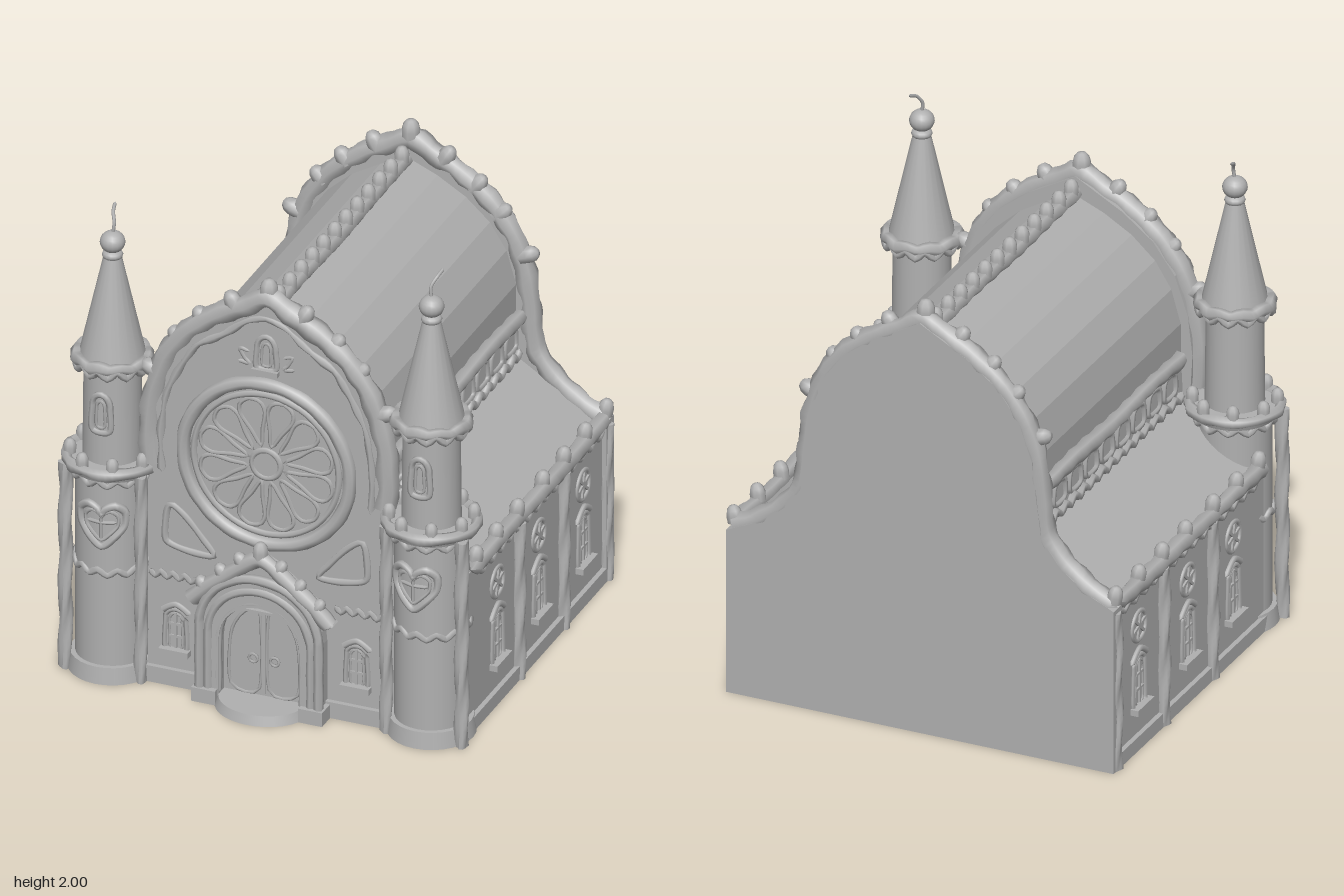
import * as THREE from 'three';

const stone = new THREE.MeshStandardMaterial({ color: 0xb0b0b0 });
stone.name = 'plain grey';

function mesh(parent, name, geo, x = 0, y = 0, z = 0) {
  const m = new THREE.Mesh(geo, stone);
  m.name = name;
  m.position.set(x, y, z);
  parent.add(m);
  return m;
}

// Lumpy piped-icing strand through points; open ends are pinched shut
function strand(parent, name, pts, r, seg = 24, closed = false, lump = 0.2, sides = 6) {
  const curve = new THREE.CatmullRomCurve3(pts.map(p => new THREE.Vector3(p[0], p[1], p[2] || 0)), closed, 'catmullrom', 0.4);
  const geo = new THREE.TubeGeometry(curve, seg, r, sides, closed);
  const p = geo.attributes.position, n = geo.attributes.normal, v = new THREE.Vector3(), d = new THREE.Vector3();
  for (let i = 0; i < p.count; i++) {
    v.fromBufferAttribute(p, i);
    d.fromBufferAttribute(n, i);
    const ring = Math.floor(i / (sides + 1));
    const end = !closed && (ring === 0 || ring === seg);
    const k = end ? -r : r * lump * Math.sin(41 * v.x + 29 * v.z + 1) * Math.cos(37 * v.y + 23 * v.z);
    v.addScaledVector(d, k);
    p.setXYZ(i, v.x, v.y, v.z);
  }
  return mesh(parent, name, geo);
}

// Scalloped line from a to b
function scallop(parent, name, a, b, n, drop, r) {
  const pts = [];
  for (let i = 0; i <= n * 2; i++) {
    const t = i / (n * 2);
    pts.push([a[0] + (b[0] - a[0]) * t, a[1] + (b[1] - a[1]) * t - (i % 2) * drop, a[2] + (b[2] - a[2]) * t]);
  }
  strand(parent, name, pts, r, n * 6, false, 0.15, 5);
}

// Scalloped ring around a vertical axis
function ringScallop(parent, name, cx, y, cz, R, n, drop, r) {
  const pts = [];
  for (let i = 0; i < n * 2; i++) {
    const a = i / (n * 2) * Math.PI * 2;
    pts.push([cx + R * Math.sin(a), y - (i % 2) * drop, cz + R * Math.cos(a)]);
  }
  strand(parent, name, pts, r, n * 6, true, 0.15, 5);
}

const budGeo = new THREE.LatheGeometry([[0.034, -0.03], [0.036, 0.005], [0.03, 0.03], [0.017, 0.046], [0, 0.05]].map(p => new THREE.Vector2(...p)), 8);
function bud(parent, x, y, z, tilt = 0, s = 1) {
  const m = mesh(parent, 'bud', budGeo, x, y, z);
  m.rotation.z = tilt;
  m.scale.setScalar(s);
}

// Twisted three-lobed column
function column(parent, x, z, h, r) {
  const geo = new THREE.CylinderGeometry(1, 1, h, 12, 24);
  const p = geo.attributes.position;
  for (let i = 0; i < p.count; i++) {
    const a = Math.atan2(p.getZ(i), p.getX(i)), y = p.getY(i);
    const k = r * (1 + 0.2 * Math.cos(3 * a + 22 * y));
    p.setX(i, p.getX(i) * k);
    p.setZ(i, p.getZ(i) * k);
  }
  geo.computeVertexNormals();
  mesh(parent, 'twistedColumn', geo, x, h / 2, z);
}

// Symmetric profile (right half, bottom to top) turned into an extruded slab
const mirrored = half => [...half, ...half.slice(0, -1).reverse().map(([x, y]) => [-x, y])];
function slab(parent, name, pts, z0, z1, hole) {
  const s = new THREE.Shape(pts.map(p => new THREE.Vector2(...p)));
  if (hole) s.holes.push(new THREE.Path(hole.map(p => new THREE.Vector2(...p))));
  return mesh(parent, name, new THREE.ExtrudeGeometry(s, { depth: z1 - z0, bevelEnabled: false }), 0, 0, z0);
}

// Slightly pointed arch outline, right half
function archHalf(w, y0, spring, top) {
  const pts = [[w, y0]];
  for (let i = 0; i <= 8; i++) {
    const a = i / 8 * Math.PI / 2;
    pts.push([w * Math.cos(a), spring + (top - spring) * Math.pow(Math.sin(a), 0.95)]);
  }
  return pts;
}

const circle = (r, n = 40) => Array.from({ length: n }, (_, i) => [r * Math.cos(i / n * 2 * Math.PI), r * Math.sin(i / n * 2 * Math.PI)]);
const box = (g, name, w, h, d, x, y, z) => mesh(g, name, new THREE.BoxGeometry(w, h, d), x, y, z);

function group(parent, name, x, y, z, ry = 0) {
  const g = new THREE.Group();
  g.name = name;
  g.position.set(x, y, z);
  g.rotation.y = ry;
  parent.add(g);
  return g;
}

// Small window with frame, bars, sill and lintel
function smallWindow(parent, x, y, z, ry, w, h) {
  const g = group(parent, 'window', x, y, z, ry);
  strand(g, 'windowFrame', mirrored(archHalf(w / 2, -h / 2, h * 0.3, h / 2)), 0.011, 30, true, 0.1, 5);
  strand(g, 'windowInnerFrame', mirrored(archHalf(w * 0.3, -h * 0.42, h * 0.25, h * 0.4)), 0.006, 24, true, 0.1, 5);
  box(g, 'windowBar', 0.01, h * 0.85, 0.014, 0, 0, 0);
  for (const t of [-0.15, 0.15]) box(g, 'windowCrossbar', w * 0.65, 0.01, 0.014, 0, h * t, 0);
  box(g, 'windowSill', w * 1.45, 0.025, 0.045, 0, -h / 2, 0.01);
  strand(g, 'windowHood', [[-w * 0.72, h * 0.42], [-w * 0.35, h * 0.55], [0, h * 0.62], [w * 0.35, h * 0.55], [w * 0.72, h * 0.42]], 0.014, 14, false, 0.1);
}

export function createModel() {
  const root = new THREE.Group();
  root.name = 'cathedral';
  const gable = [[0.5, 0], [0.49, 0.93], [0.5, 1.1], [0.48, 1.27], [0.425, 1.43], [0.33, 1.56], [0.2, 1.66], [0.09, 1.72], [0, 1.77]];

  // Main body with side aisles, clerestory and curved nave roof
  slab(root, 'body', mirrored([[0.81, 0], [0.81, 0.69], [0.46, 0.91], [0.45, 1.1], [0.45, 1.23], [0.41, 1.37], [0.34, 1.48], [0.24, 1.57], [0.12, 1.64], [0, 1.69]]), -0.8, 0.58);
  slab(root, 'plinth', mirrored([[0.83, 0], [0.83, 0.06], [0, 0.06]]), -0.83, 0.6);

  // Front gable wall
  slab(root, 'facade', mirrored(gable), 0.57, 0.65);
  box(root, 'facadePlinth', 1, 0.07, 0.1, 0, 0.035, 0.62);
  strand(root, 'facadeTrim', mirrored(gable.slice(1)).map(([x, y]) => [x, y, 0.625]), 0.045, 80, false, 0.2, 8);
  const inner = mirrored(gable.slice(1)).map(([x, y], i) => [x * 0.89, 0.75 + (y - 0.75) * 0.94 - (i % 2) * 0.02, 0.65]);
  strand(root, 'facadeIcing', inner, 0.014, 70, false, 0.5);

  // Back wall
  const back = [[0.83, 0], [0.83, 0.7], [0.72, 0.75], [0.6, 0.84], [0.52, 0.95], ...gable.slice(2)];
  slab(root, 'backWall', mirrored(back), -0.835, -0.76);
  strand(root, 'backTrim', mirrored(back.slice(1)).map(([x, y]) => [x, y, -0.79]), 0.043, 100, false, 0.2, 8);
  for (const z of [0.625, -0.78]) {
    bud(root, 0, 1.8, z, 0, 1.05);
    for (const s of [-1, 1])
      for (const [x, y, t] of [[0.15, 1.72, 0.5], [0.28, 1.625, 0.65], [0.38, 1.52, 0.8], [0.49, 1.36, 1.2]]) bud(root, s * x, y, z, -s * t);
  }

  // Ridge with buds
  strand(root, 'ridge', [0.6, 0.3, 0, -0.3, -0.76].map((z, i) => [0, 1.7 + (i % 2) * 0.006, z]), 0.032, 40);
  for (let i = 0; i < 12; i++) bud(root, 0, 1.735, 0.53 - i * 0.111, 0, 0.85);

  // Rose window
  const rose = group(root, 'roseWindow', 0, 1.05, 0.65);
  strand(rose, 'roseOuterRing', circle(0.35), 0.028, 80, true, 0.1, 8);
  strand(rose, 'roseInnerRing', circle(0.305), 0.014, 64, true, 0.1);
  strand(rose, 'roseHub', circle(0.06, 16), 0.014, 24, true, 0.1);
  mesh(rose, 'roseHubDisc', new THREE.CylinderGeometry(0.055, 0.055, 0.008, 20), 0, 0, 0.004).rotation.x = Math.PI / 2;
  for (let i = 0; i < 12; i++) {
    const petal = strand(rose, 'rosePetal', [[0, 0.08], [0.025, 0.15], [0.053, 0.22], [0.045, 0.265], [0, 0.285], [-0.045, 0.265], [-0.053, 0.22], [-0.025, 0.15]], 0.009, 26, true, 0.1, 5);
    petal.rotation.z = (i + 0.5) / 12 * Math.PI * 2;
  }

  // Small window and curls in the gable
  const top = group(root, 'gableWindow', 0, 1.53, 0.65);
  strand(top, 'gableWindowFrame', mirrored(archHalf(0.04, -0.06, 0.02, 0.08)), 0.013, 28, true, 0.1);
  strand(top, 'gableWindowInner', mirrored(archHalf(0.018, -0.045, 0.02, 0.05)), 0.006, 20, true, 0.1, 5);
  box(top, 'gableWindowSill', 0.11, 0.02, 0.03, 0, -0.07, 0.01);
  for (const s of [-1, 1]) strand(top, 'curl', [[s * 0.07, 0.0], [s * 0.11, 0.01], [s * 0.09, -0.03], [s * 0.07, -0.05], [s * 0.12, -0.045]], 0.009, 16);

  // Doorway: stepped arch, double door, pointed hood and round step
  const door = group(root, 'doorway', 0, 0, 0.65);
  slab(door, 'portal', mirrored(archHalf(0.255, 0, 0.33, 0.58)), 0, 0.075, mirrored(archHalf(0.17, 0.04, 0.28, 0.45)));
  slab(door, 'doorPanels', mirrored(archHalf(0.17, 0.03, 0.28, 0.45)), 0, 0.02);
  [[0.25, 0.33, 0.575, 0.02, 0.075], [0.215, 0.3, 0.52, 0.018, 0.07], [0.178, 0.28, 0.465, 0.016, 0.06]].forEach(([w, s, t, r, z]) =>
    strand(door, 'archMoulding', mirrored(archHalf(w, 0.03, s, t)).map(([x, y]) => [x, y, z]), r, 44, false, 0.1));
  box(door, 'doorGap', 0.014, 0.38, 0.016, 0, 0.24, 0.02);
  for (const s of [-1, 1]) {
    strand(door, 'doorOutline', [[s * 0.02, 0.07], [s * 0.02, 0.41], [s * 0.09, 0.39], [s * 0.14, 0.29], [s * 0.14, 0.07]].map(p => [...p, 0.02]), 0.007, 26, true, 0.1, 5);
    strand(door, 'doorHandle', circle(0.018, 10).map(([x, y]) => [s * 0.045 + x, 0.2 + y, 0.025]), 0.006, 12, true, 0, 5);
    box(door, 'portalFoot', 0.1, 0.06, 0.1, s * 0.225, 0.03, 0.05);
  }
  const hood = [[0.3, 0.42], [0.22, 0.5], [0.12, 0.58], [0.05, 0.635], [0, 0.66]];
  slab(door, 'hoodPanel', mirrored(hood), 0, 0.06, mirrored(archHalf(0.2, 0.43, 0.431, 0.54)));
  strand(door, 'hoodTrim', mirrored(hood).map(([x, y]) => [x, y, 0.06]), 0.033, 50, false, 0.15, 8);
  bud(door, 0, 0.69, 0.06, 0, 0.9);
  for (const s of [-1, 1]) for (const [x, y] of [[0.08, 0.635], [0.16, 0.57], [0.24, 0.5]]) bud(door, s * x, y, 0.06, -s * 0.6, 0.8);
  const step = mesh(door, 'step', new THREE.CylinderGeometry(0.175, 0.19, 0.04, 32), 0, 0.02, 0.04);
  step.scale.z = 0.83;

  for (const s of [-1, 1]) {
    // Facade side windows and icing
    smallWindow(root, s * 0.38, 0.24, 0.65, 0, 0.085, 0.18);
    const tri = [[0.22, 0.6], [0.33, 0.6], [0.42, 0.63], [0.42, 0.74], [0.4, 0.79], [0.34, 0.75], [0.27, 0.67]];
    strand(root, 'cornerPanel', tri.map(([x, y]) => [s * x, y, 0.65]), 0.015, 40, true, 0.1);
    scallop(root, 'facadeBand', [s * 0.29, 0.49, 0.655], [s * 0.49, 0.49, 0.655], 4, 0.022, 0.013);

    // Aisle eaves, roof edges and clerestory
    strand(root, 'aisleEave', [0.55, 0.3, 0.05, -0.2, -0.45, -0.78].map((z, i) => [s * (0.815 + (i % 2) * 0.006), 0.705 + (i % 2) * 0.01, z]), 0.035, 50);
    scallop(root, 'aisleIcing', [s * 0.815, 0.675, 0.48], [s * 0.815, 0.675, -0.76], 14, 0.025, 0.014);
    for (const z of [0.5, 0.3, 0.09, -0.16, -0.37, -0.58, -0.79]) bud(root, s * 0.815, 0.745, z, -s * 0.15, 0.9);
    strand(root, 'naveEave', [0.56, 0.25, -0.1, -0.45, -0.78].map((z, i) => [s * 0.47, 1.1 + (i % 2) * 0.012, z]), 0.032, 44);
    scallop(root, 'clerestoryIcing', [s * 0.467, 0.95, 0.55], [s * 0.467, 0.95, -0.76], 16, 0.025, 0.018);
    for (let i = 0; i < 9; i++) {
      const w = 0.048, h = 0.045, z = 0.45 - i * 0.142;
      strand(root, 'clerestoryWindow', [[-w, -h], [w, -h], [w, h * 0.6], [w * 0.5, h], [-w * 0.5, h], [-w, h * 0.6]].map(([a, b]) => [s * 0.458, 1.015 + b, z + a]), 0.012, 20, true, 0.1, 5);
    }

    // Aisle wall: columns, round windows and arched windows
    for (const z of [0.08, -0.36, -0.79]) column(root, s * 0.815, z, 0.68, 0.028);
    for (const z of [0.28, -0.13, -0.57]) {
      smallWindow(root, s * 0.812, 0.285, z, s * Math.PI / 2, 0.1, 0.22);
      const round = group(root, 'roundWindow', s * 0.81, 0.52, z, s * Math.PI / 2);
      strand(round, 'roundFrame', circle(0.062, 14), 0.011, 24, true, 0.1);
      for (let k = 0; k < 3; k++) box(round, 'spoke', 0.12, 0.012, 0.016, 0, 0, 0).rotation.z = k * Math.PI / 3 + 0.3;
    }

    // Tower shaft, ledge, upper drum and spire
    const cx = s * 0.67, cz = 0.595, t = group(root, 'tower', cx, 0, cz);
    mesh(t, 'towerBase', new THREE.CylinderGeometry(0.165, 0.175, 0.07, 28), 0, 0.035, 0);
    mesh(t, 'towerShaft', new THREE.CylinderGeometry(0.145, 0.145, 0.9, 28), 0, 0.45, 0);
    mesh(t, 'towerLedge', new THREE.CylinderGeometry(0.185, 0.165, 0.05, 28), 0, 0.91, 0);
    strand(t, 'towerLedgeRim', circle(0.178, 20).map(([x, z]) => [x, 0.925, z]), 0.024, 48, true, 0.3);
    ringScallop(t, 'ledgeIcing', 0, 0.885, 0, 0.152, 12, 0.025, 0.014);
    ringScallop(t, 'shaftBand', 0, 0.49, 0, 0.146, 12, 0.022, 0.014);
    for (let i = 0; i < 8; i++) {
      const a = (i + 0.5) / 8 * Math.PI * 2;
      bud(t, 0.165 * Math.sin(a), 0.955, 0.165 * Math.cos(a), 0, 0.75);
    }
    mesh(t, 'towerDrum', new THREE.CylinderGeometry(0.113, 0.118, 0.46, 24), 0, 1.14, 0);
    mesh(t, 'spire', new THREE.CylinderGeometry(0.034, 0.135, 0.45, 20), 0, 1.58, 0);
    strand(t, 'spireEave', circle(0.137, 20).map(([x, z], i) => [x, 1.362 + (i % 2) * 0.008, z]), 0.026, 48, true, 0.3);
    ringScallop(t, 'spireIcing', 0, 1.36, 0, 0.142, 12, 0.028, 0.018);
    mesh(t, 'spireCollar', new THREE.SphereGeometry(0.042, 14, 8), 0, 1.805, 0).scale.y = 0.6;
    mesh(t, 'cherry', new THREE.SphereGeometry(0.05, 16, 12), 0, 1.86, 0).scale.y = 0.9;
    strand(t, 'cherryStem', [[0, 1.89, 0], [s * -0.005, 1.94, -0.005], [s * 0.01, 1.975, -0.03], [s * 0.02, 1.994, -0.075]], 0.007, 14, false, 0);

    // Heart and arched window wrapped on the tower front
    const wrap = (pts, R, y) => pts.map(([x, v]) => [R * Math.sin(x / R), y + v, R * Math.cos(x / R)]);
    const heart = [[0, -0.095], [0.05, -0.055], [0.093, -0.005], [0.095, 0.055], [0.055, 0.085], [0.015, 0.07], [0, 0.045]];
    const heartLoop = [...heart, ...heart.slice(1, -1).reverse().map(([x, y]) => [-x, y])];
    const hg = group(t, 'heartWindow', 0, 0, 0, -s * 0.1);
    strand(hg, 'heartFrame', wrap(heartLoop, 0.148, 0.69), 0.016, 44, true, 0.1);
    strand(hg, 'heartInner', wrap(heartLoop.map(([x, y]) => [x * 0.7, y * 0.7]), 0.148, 0.69), 0.008, 36, true, 0.1, 5);
    strand(hg, 'heartBar', wrap([[0, -0.07], [0, 0], [0, 0.04]], 0.148, 0.69), 0.008, 8, false, 0, 5);
    strand(hg, 'heartCrossbar', wrap([[-0.065, 0.01], [0, 0.01], [0.065, 0.01]], 0.148, 0.69), 0.008, 8, false, 0, 5);
    strand(t, 'towerWindow', wrap(mirrored(archHalf(0.037, -0.075, 0.03, 0.085)), 0.118, 1.16), 0.013, 30, true, 0.1);
    strand(t, 'towerWindowInner', wrap(mirrored(archHalf(0.017, -0.055, 0.025, 0.055)), 0.117, 1.16), 0.007, 24, true, 0.1, 5);

    // Columns flanking the tower
    column(root, s * 0.832, 0.68, 0.9, 0.026);
    column(root, s * 0.515, 0.68, 0.9, 0.024);
  }
  return root;
}
